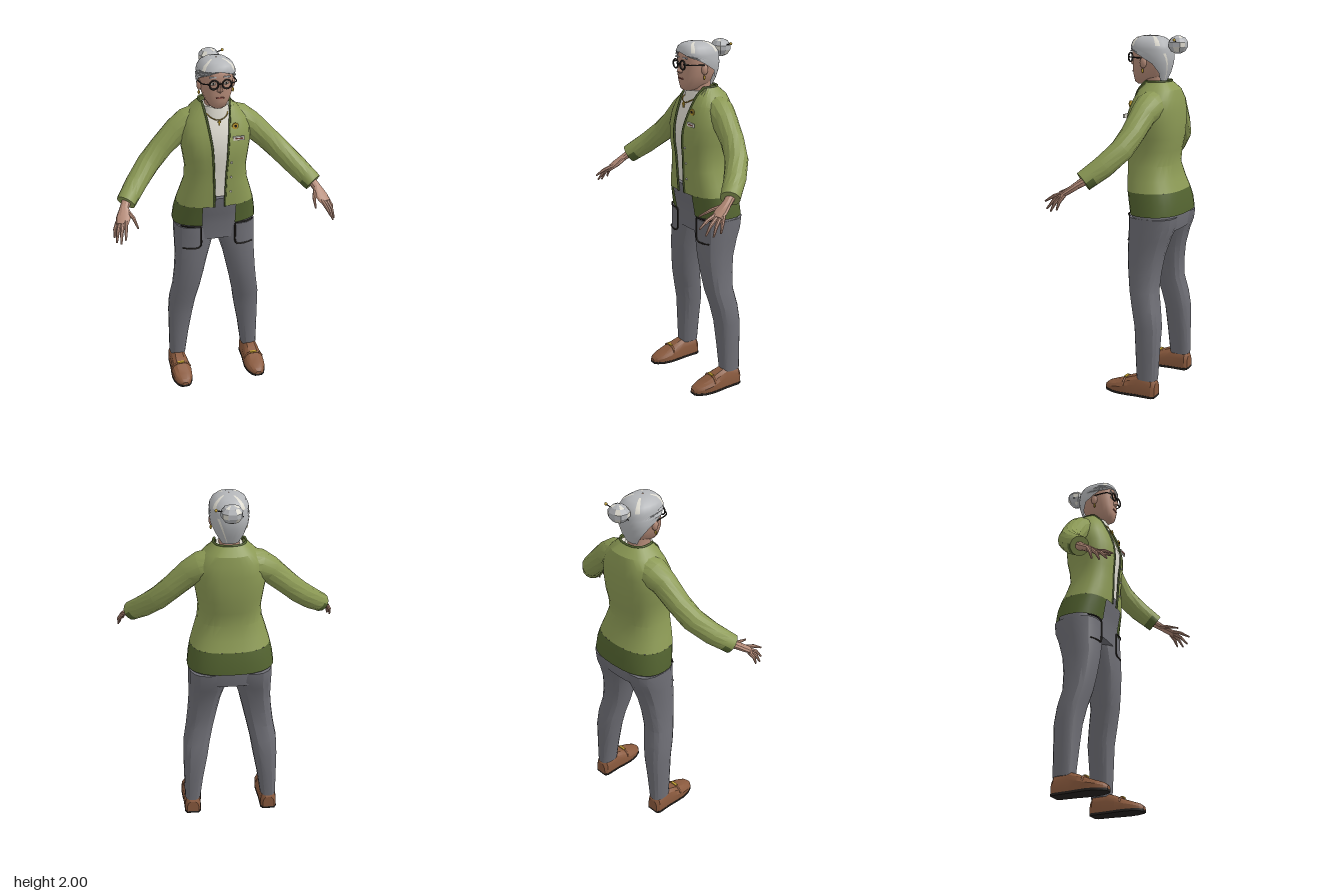
import * as THREE from 'three';
import { toCreasedNormals } from 'three/addons/utils/BufferGeometryUtils.js';
import { ConvexGeometry } from 'three/addons/geometries/ConvexGeometry.js';

const V = (x, y, z) => new THREE.Vector3(x, y, z);
const P = 0.8; // squareness of the body cross-sections

function paint(name, color) {
  const m = new THREE.MeshStandardMaterial({ color, side: THREE.DoubleSide });
  m.name = name;
  return m;
}

// Skin between rings of points; pick(i, j) chooses a material index per quad.
function loft(rings, { closed = true, cap = true, pick = () => 0, crease = 0.45 } = {}) {
  const bins = [[], []], n = rings[0].length, last = rings.length - 1;
  const tri = (m, ...pts) => pts.forEach(p => bins[m].push(p.x, p.y, p.z));
  for (let i = 0; i < last; i++) {
    for (let j = 0; j < (closed ? n : n - 1); j++) {
      const k = (j + 1) % n, m = pick(i, j);
      const a = rings[i][j], b = rings[i][k], c = rings[i + 1][j], d = rings[i + 1][k];
      tri(m, a, c, b);
      tri(m, b, c, d);
    }
  }
  if (closed && cap) [0, last].forEach(i => {
    const r = rings[i], mid = V(0, 0, 0);
    r.forEach(p => mid.addScaledVector(p, 1 / n));
    for (let j = 0; j < n; j++) {
      const k = (j + 1) % n;
      i ? tri(0, mid, r[k], r[j]) : tri(0, mid, r[j], r[k]);
    }
  });
  const g = new THREE.BufferGeometry();
  g.setAttribute('position', new THREE.Float32BufferAttribute(bins.flat(), 3));
  if (bins[1].length) {
    g.addGroup(0, bins[0].length / 3, 0);
    g.addGroup(bins[0].length / 3, bins[1].length / 3, 1);
  }
  return toCreasedNormals(g, crease);
}

// Horizontal section from a row [y, centre x, half width, front z, back z].
// An opening angle a0 leaves a gap at the front.
const midZ = (zf, zb) => zb + 0.55 * (zf - zb);
const pow = v => Math.sign(v) * Math.abs(v) ** P;
function section([y, cx, rx, zf, zb], n = 18, a0 = null) {
  const cz = midZ(zf, zb), out = [], open = a0 !== null;
  for (let j = 0; j < (open ? n + 1 : n); j++) {
    const a = open ? Math.PI - a0 + (Math.PI + 2 * a0) * j / n : 2 * Math.PI * j / n;
    const s = Math.sin(a);
    out.push(V(cx + rx * pow(Math.cos(a)), y, cz + (s > 0 ? zf - cz : cz - zb) * pow(s)));
  }
  return out;
}

// Front surface depth at (x, y) of a body given by rows in rising order.
function frontZ(rows, x, y) {
  let i = 0;
  while (i < rows.length - 2 && rows[i + 1][0] < y) i++;
  const t = THREE.MathUtils.clamp((y - rows[i][0]) / (rows[i + 1][0] - rows[i][0]), 0, 1);
  const [, cx, rx, zf, zb] = rows[i].map((v, k) => THREE.MathUtils.lerp(v, rows[i + 1][k], t));
  const c = Math.min(1, Math.abs(x - cx) / rx) ** (1 / P), cz = midZ(zf, zb);
  return cz + (zf - cz) * pow(Math.sqrt(1 - c * c));
}

// Limb along points [x, y, z, horizontal radius, other radius].
function limb(points, n = 10, opts) {
  const c = points.map(p => V(p[0], p[1], p[2]));
  return loft(c.map((p, i) => {
    const t = c[Math.min(i + 1, c.length - 1)].clone().sub(c[Math.max(i - 1, 0)]).normalize();
    const u = t.clone().cross(V(0, 1, 0)).normalize(), v = u.clone().cross(t);
    const [, , , r1, r2 = r1] = points[i];
    return Array.from({ length: n }, (_, j) => {
      const a = 2 * Math.PI * j / n;
      return p.clone().addScaledVector(u, r1 * Math.cos(a)).addScaledVector(v, r2 * Math.sin(a));
    });
  }), opts);
}

// Mirrored copy with corners reordered.
function flip(geo) {
  const g = (geo.index ? geo.toNonIndexed() : geo.clone()).scale(-1, 1, 1);
  for (const key of ['position', 'normal']) {
    const a = g.attributes[key].array;
    for (let i = 0; i < a.length; i += 9) for (let k = 3; k < 6; k++) [a[i + k], a[i + k + 3]] = [a[i + k + 3], a[i + k]];
  }
  return g;
}

const tube = (pts, r, n = 24) => new THREE.TubeGeometry(new THREE.CatmullRomCurve3(pts, false, 'centripetal'), n, r, 6);
const box = (w, h, d, x, y, z) => new THREE.BoxGeometry(w, h, d).translate(x, y, z);
const ball = (rx, ry, rz, x, y, z) => new THREE.SphereGeometry(1, 12, 8).scale(rx, ry, rz).translate(x, y, z);
const disc = (r, x, y, z) => new THREE.CylinderGeometry(r, r, 0.006, 12).rotateX(Math.PI / 2).translate(x, y, z);

export function createModel() {
  const model = new THREE.Group();
  model.name = 'elderlyWoman';
  const green = paint('cardigan green', 0x8c9a55), dark = paint('trim green', 0x536330);
  const hair = paint('grey hair', 0xb4b6b9), white = paint('off white', 0xdedbd0);
  const skin = paint('skin', 0xb58b78), grey = paint('trouser grey', 0x6f6f76);
  const brown = paint('shoe leather', 0x8a5a3e), black = paint('black', 0x26221f);
  const gold = paint('gold', 0xc4a032), lip = paint('lip red', 0x8f5147);
  const add = (name, geo, mat) => {
    const m = new THREE.Mesh(geo, mat);
    m.name = name;
    model.add(m);
  };
  const pair = (name, geo, mat) => {
    add(name + 'Left', geo, mat);
    add(name + 'Right', flip(geo), mat);
  };

  // Cardigan, open at the front, with a dark hem and edging
  const torso = [
    [1.035, 0, 0.242, 0.012, -0.287], [1.1, 0, 0.234, 0.024, -0.28], [1.16, 0, 0.221, 0.036, -0.262],
    [1.22, 0, 0.203, 0.041, -0.238], [1.3, 0, 0.178, 0.045, -0.215], [1.38, 0, 0.172, 0.05, -0.225],
    [1.45, 0, 0.182, 0.058, -0.24], [1.53, 0, 0.195, 0.055, -0.243], [1.6, 0, 0.195, 0.036, -0.243],
    [1.66, 0, 0.175, 0.012, -0.236], [1.71, 0, 0.13, -0.008, -0.222], [1.755, 0, 0.085, -0.035, -0.172]];
  const gaps = [0.095, 0.095, 0.03, 0.03, 0.033, 0.036, 0.04, 0.045, 0.054, 0.062, 0.07, 0.076];
  const opened = (row, w) => section(row, 26, Math.acos((w / row[2]) ** (1 / P)));
  const coat = torso.slice(2).map((row, i) => opened(row, gaps[i + 2]));
  add('cardiganBody', loft(coat, { closed: false }), green);
  add('cardiganHem', loft(torso.slice(0, 3).map(row => opened(row, 0.095)), { closed: false }), dark);
  pair('cardiganEdge', tube(coat.map(r => r[26]), 0.006), dark);
  add('collarEdge', tube(coat[coat.length - 1], 0.006, 40), dark);
  for (const y of [1.25, 1.34, 1.43]) add('button', disc(0.006, 0.062, y, frontZ(torso, 0.062, y) + 0.003), white);

  // Sleeves
  pair('sleeve', limb([[0.1, 1.63, -0.12, 0.085], [0.15, 1.618, -0.118, 0.084], [0.21, 1.585, -0.11, 0.071],
    [0.3, 1.5, -0.097, 0.064], [0.38, 1.42, -0.07, 0.063], [0.46, 1.34, -0.005, 0.06],
    [0.505, 1.295, 0.045, 0.056], [0.532, 1.268, 0.074, 0.054]], 14,
  { pick: (i, j) => (i === 6 && j >= 7 ? 1 : 0) }), [green, dark]);

  // Hands
  pair('palm', limb([[0.525, 1.275, 0.065, 0.027, 0.025], [0.545, 1.25, 0.1, 0.026, 0.02],
    [0.56, 1.215, 0.15, 0.04, 0.017], [0.572, 1.193, 0.182, 0.034, 0.013]], 10), skin);
  const fingers = {
    thumb: [[0.535, 1.24, 0.11], [0.508, 1.218, 0.17], [0.495, 1.19, 0.24]],
    indexFinger: [[0.55, 1.205, 0.17], [0.56, 1.183, 0.235], [0.57, 1.152, 0.285]],
    middleFinger: [[0.565, 1.2, 0.172], [0.582, 1.165, 0.225], [0.592, 1.117, 0.262]],
    ringFinger: [[0.582, 1.197, 0.167], [0.601, 1.158, 0.205], [0.611, 1.11, 0.228]],
    littleFinger: [[0.592, 1.2, 0.155], [0.611, 1.165, 0.175], [0.617, 1.122, 0.187]] };
  for (const [name, p] of Object.entries(fingers)) {
    pair(name, limb(p.map((q, i) => [...q, [0.012, 0.01, 0.005][i]]), 7), skin);
  }

  // Shirt with a high neck
  const shirt = torso.slice(3, 11).map(([y, x, rx, zf, zb]) => [y, x, rx - 0.012, zf - 0.012, zb + 0.012]);
  add('shirt', loft(shirt.map(r => section(r))), white);
  add('shirtCollar', loft([[1.64, 0, 0.085, 0.0, -0.17], [1.69, 0, 0.077, -0.005, -0.155],
    [1.735, 0, 0.07, -0.015, -0.15]].map(r => section(r))), white);

  // Trousers with pocket piping
  const hips = [[0.94, 0, 0.234, -0.002, -0.255], [1.04, 0, 0.232, 0.002, -0.272], [1.1, 0, 0.222, 0.014, -0.265],
    [1.16, 0, 0.208, 0.03, -0.248], [1.21, 0, 0.193, 0.037, -0.225]];
  const leg = [[0.1, 0.228, 0.047, -0.09, -0.21], [0.25, 0.218, 0.058, -0.08, -0.214],
    [0.4, 0.205, 0.072, -0.07, -0.218], [0.5, 0.195, 0.078, -0.05, -0.205], [0.6, 0.175, 0.08, -0.025, -0.185],
    [0.7, 0.158, 0.085, -0.01, -0.19], [0.8, 0.143, 0.092, 0, -0.205], [0.9, 0.128, 0.107, 0, -0.235],
    [0.96, 0.12, 0.115, 0, -0.26], [1.02, 0.12, 0.114, 0, -0.268]];
  add('trouserHips', loft(hips.map(r => section(r, 22))), grey);
  pair('trouserLeg', loft(leg.map(r => section(r, 16))), grey);
  const piping = [[0.21, 1.03], [0.17, 1.03], [0.13, 1.03], [0.104, 1.028], [0.1, 1.015], [0.1, 0.96], [0.101, 0.91],
    [0.112, 0.893], [0.15, 0.89], [0.205, 0.89]].map(([x, y]) => V(x, y,
    Math.max(frontZ(leg, x, y), y > 0.94 ? frontZ(hips, x, y) : -1) + 0.001));
  pair('pocketPiping', tube(piping, 0.005, 40), black);

  // Shoes: sections from heel to toe
  const last = [[-0.208, 0.034, 0.085], [-0.19, 0.046, 0.115], [-0.1, 0.05, 0.118], [-0.05, 0.056, 0.1],
    [0, 0.06, 0.076], [0.05, 0.054, 0.058], [0.09, 0.037, 0.044], [0.107, 0.018, 0.03]];
  const shoeRing = (z, shape) => shape.map(([x, y]) => V(0.23 + x, y, z));
  pair('shoe', loft(last.map(([z, r, h]) => shoeRing(z, [[r, h * 0.6], [r, 0.012], [-r, 0.012], [-r, h * 0.6],
    [-r * 0.8, h * 0.85], [-r * 0.45, h], [r * 0.45, h], [r * 0.8, h * 0.85]]))), brown);
  pair('sole', loft(last.map(([z, r]) => shoeRing(z, [[r + 0.002, 0.013], [r + 0.002, 0], [-r - 0.002, 0], [-r - 0.002, 0.013]]))), black);
  pair('shoeStrap', tube([V(0.173, 0.055, -0.02), V(0.19, 0.08, -0.02), V(0.23, 0.089, -0.02), V(0.27, 0.08, -0.02), V(0.287, 0.055, -0.02)], 0.006), brown);
  pair('shoeBuckle', box(0.042, 0.006, 0.014, 0.23, 0.094, -0.02), gold);

  // Head and neck
  const head = [[1.735, 0, 0.025, 0.018, -0.05], [1.748, 0, 0.046, 0.033, -0.1], [1.78, 0, 0.067, 0.038, -0.14],
    [1.82, 0, 0.082, 0.041, -0.155], [1.87, 0, 0.09, 0.037, -0.17], [1.91, 0, 0.092, 0.041, -0.173],
    [1.95, 0, 0.088, 0.034, -0.168], [1.98, 0, 0.06, 0.005, -0.13]];
  add('neck', loft([[1.66, 0, 0.062, -0.025, -0.15], [1.74, 0, 0.055, -0.025, -0.14], [1.82, 0, 0.06, -0.02, -0.14]].map(r => section(r))), skin);
  add('head', loft(head.map(r => section(r, 20)), { crease: 0.8 }), skin);
  add('nose', new ConvexGeometry([V(0, 1.893, 0.04), V(0.018, 1.838, 0.034), V(-0.018, 1.838, 0.034), V(0, 1.843, 0.066), V(0, 1.83, 0.045), V(0, 1.87, 0.054)]), skin);
  add('mouth', box(0.044, 0.007, 0.008, 0, 1.803, 0.04), lip);
  pair('ear', ball(0.014, 0.03, 0.02, 0.092, 1.855, -0.055), skin);
  pair('earring', ball(0.006, 0.013, 0.006, 0.094, 1.812, -0.052), gold);
  pair('eye', ball(0.014, 0.008, 0.006, 0.035, 1.881, 0.034), white);
  pair('pupil', disc(0.006, 0.035, 1.881, 0.039), black);
  pair('brow', box(0.036, 0.007, 0.008, 0.038, 1.916, 0.036), hair);

  // Glasses
  pair('glassesRim', new THREE.TorusGeometry(0.024, 0.0045, 6, 20).translate(0.035, 1.88, 0.05), black);
  pair('glassesTemple', tube([V(0.058, 1.884, 0.05), V(0.09, 1.884, 0.03), V(0.1, 1.88, -0.05)], 0.0035), black);
  add('glassesBridge', box(0.024, 0.006, 0.006, 0, 1.884, 0.053), black);

  // Hair: the opening angle closes from nape to forehead, with pale strands
  const mane = [[1.755, 0.06, -0.02, -0.148, -50], [1.8, 0.083, 0.0, -0.168, -38], [1.85, 0.1, 0.03, -0.182, -18],
    [1.88, 0.104, 0.04, -0.185, 0], [1.905, 0.105, 0.046, -0.184, 20], [1.928, 0.103, 0.048, -0.182, 60],
    [1.945, 0.1, 0.047, -0.178, 90], [1.97, 0.087, 0.038, -0.162, 90], [1.988, 0.062, 0.02, -0.135, 90],
    [1.997, 0.035, -0.015, -0.1, 90], [2, 0.003, -0.048, -0.055, 90]];
  add('hair', loft(mane.map(([y, rx, zf, zb, a]) => section([y, 0, rx, zf, zb], 24, a * Math.PI / 180)),
    { closed: false, crease: 0.9, pick: (i, j) => (i > 5 && i < 9 && [3, 9, 15, 20].includes(j)) || (i < 4 && j === 15) ? 1 : 0 }), [hair, white]);
  const bun = [[1.904, 0.015], [1.915, 0.038], [1.94, 0.055], [1.965, 0.055], [1.988, 0.038], [1.999, 0.012]];
  add('bun', loft(bun.map(([y, r]) => section([y, 0, r * 1.04, -0.22 + r * 0.92, -0.22 - r * 0.92], 10)),
    { crease: 0.1, pick: (i, j) => ((i * 3 + j * 2) % 7 < 2 ? 1 : 0) }), [hair, white]);
  add('hairPin', tube([V(-0.06, 1.93, -0.21), V(0, 1.955, -0.22), V(0.078, 1.977, -0.232)], 0.003), black);
  add('hairPinBead', ball(0.008, 0.008, 0.008, 0.08, 1.978, -0.232), gold);

  // Necklace, brooch and badge
  add('necklace', tube([V(-0.07, 1.715, -0.06), V(-0.045, 1.685, 0.0), V(0, 1.668, 0.014), V(0.045, 1.685, 0.0), V(0.07, 1.715, -0.06)], 0.003), gold);
  add('pendant', box(0.009, 0.028, 0.006, 0, 1.655, 0.022), gold);
  add('pendantBar', box(0.02, 0.007, 0.006, 0, 1.66, 0.022), gold);
  const zPin = frontZ(torso, 0.09, 1.63), zBadge = frontZ(torso, 0.105, 1.565);
  add('brooch', disc(0.018, 0.09, 1.63, zPin + 0.007), gold);
  add('broochStone', disc(0.007, 0.09, 1.63, zPin + 0.011), black);
  add('badge', box(0.062, 0.022, 0.008, 0.105, 1.565, zBadge + 0.008), white);
  add('badgeStripe', box(0.045, 0.006, 0.003, 0.108, 1.565, zBadge + 0.013), lip);
  return model;
}
